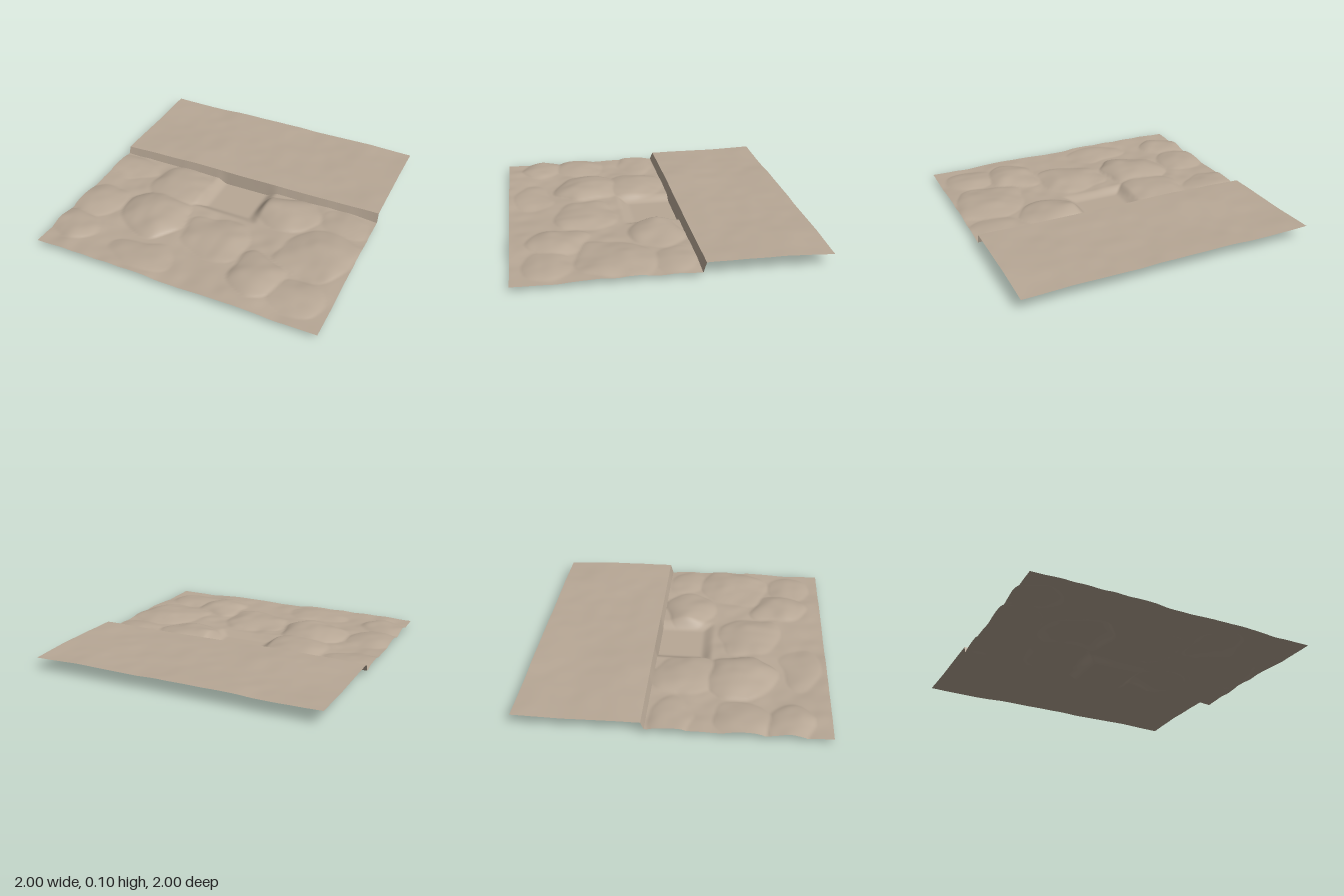
import * as THREE from 'three';

const STEPS = 150;
const RIDGE = -0.185; // z of the cliff top
const FOOT = -0.165; // z of the cliff foot

// Seeded value noise in the range -1..1
function hash(i, j) {
  let n = Math.imul(i, 374761393) + Math.imul(j, 668265263);
  n = Math.imul(n ^ (n >>> 13), 1274126177);
  return ((n ^ (n >>> 16)) >>> 0) / 2147483648 - 1;
}
function noise(x, z) {
  const i = Math.floor(x), j = Math.floor(z);
  const u = THREE.MathUtils.smoothstep(x - i, 0, 1);
  const v = THREE.MathUtils.smoothstep(z - j, 0, 1);
  const a = THREE.MathUtils.lerp(hash(i, j), hash(i + 1, j), u);
  const b = THREE.MathUtils.lerp(hash(i, j + 1), hash(i + 1, j + 1), u);
  return THREE.MathUtils.lerp(a, b, v);
}

// Rounded mounds on the low ground: x, z, radius x, radius z, rise
const mounds = [
  [-0.42, 0.40, 0.24, 0.24, 0.050],
  [-0.42, 0.05, 0.24, 0.22, 0.028],
  [-0.86, 0.44, 0.20, 0.20, 0.026],
  [-0.88, 0.74, 0.20, 0.15, 0.028],
  [-0.90, 0.00, 0.22, 0.12, 0.018],
  [0.08, 0.48, 0.24, 0.22, 0.028],
  [0.40, 0.02, 0.22, 0.18, 0.036],
  [0.46, 0.68, 0.17, 0.20, 0.030],
  [0.75, 0.35, 0.26, 0.26, 0.030],
  [0.82, -0.02, 0.20, 0.14, 0.014],
  [0.78, 0.78, 0.20, 0.16, 0.016],
  [-0.30, 0.82, 0.24, 0.14, 0.016],
];

// Height of the smooth upper ground
function upperHeight(x, z) {
  return 0.092 + 0.006 * noise(x * 3 + 7, z * 3) + 0.002 * noise(x * 9, z * 9 + 4)
    + 0.009 * Math.exp(-((x + 0.4) ** 2 + (z + 0.35) ** 2) / 0.04);
}

// Height of the lumpy lower ground with its flat hollow
function lowerHeight(x, z) {
  const wx = x + 0.04 * noise(x * 6 + 20, z * 6);
  const wz = z + 0.04 * noise(x * 6, z * 6 + 31);
  let y = 0.037 + 0.009 * noise(x * 4, z * 4 + 11) + 0.004 * noise(x * 11 + 3, z * 11);
  let rise = 0;
  for (const [cx, cz, rx, rz, h] of mounds) {
    const d = ((wx - cx) / rx) ** 2 + ((wz - cz) / rz) ** 2;
    if (d < 1) rise = Math.max(rise, h * (1 - d) ** 0.8);
  }
  y = Math.max(y + rise, 0.022);
  // Flat floor with sloping sides
  const outside = Math.max(Math.abs(x - 0.005) - 0.155, z - 0.13);
  return THREE.MathUtils.lerp(0.002, y, THREE.MathUtils.smoothstep(outside, 0, 0.09));
}

// Grid surface from a rule that turns (u, v) into a point
function surface(name, material, rows, point) {
  const geometry = new THREE.PlaneGeometry(1, 1, STEPS, rows);
  const p = geometry.attributes.position;
  for (let k = 0; k < p.count; k++) {
    const u = (k % (STEPS + 1)) / STEPS;
    const v = Math.floor(k / (STEPS + 1)) / rows;
    p.setXYZ(k, ...point(u * 2 - 1, v));
  }
  geometry.computeVertexNormals();
  const mesh = new THREE.Mesh(geometry, material);
  mesh.name = name;
  return mesh;
}

export function createModel() {
  const group = new THREE.Group();
  group.name = 'terrain';
  const earth = new THREE.MeshStandardMaterial({ color: 0xb8a896, side: THREE.DoubleSide });
  earth.name = 'pale earth';

  group.add(
    surface('upperGround', earth, 60, (x, v) => {
      const z = THREE.MathUtils.lerp(-1, RIDGE, v);
      return [x, upperHeight(x, z), z];
    }),
    surface('cliff', earth, 2, (x, v) => [
      x,
      THREE.MathUtils.lerp(upperHeight(x, RIDGE), lowerHeight(x, FOOT), v),
      THREE.MathUtils.lerp(RIDGE, FOOT, v),
    ]),
    surface('lowerGround', earth, 100, (x, v) => {
      const z = THREE.MathUtils.lerp(FOOT, 1, v);
      return [x, lowerHeight(x, z), z];
    }),
  );

  // Stand the lowest point on the floor
  const box = new THREE.Box3().setFromObject(group);
  for (const part of group.children) part.geometry.translate(0, -box.min.y, 0);
  return group;
}
